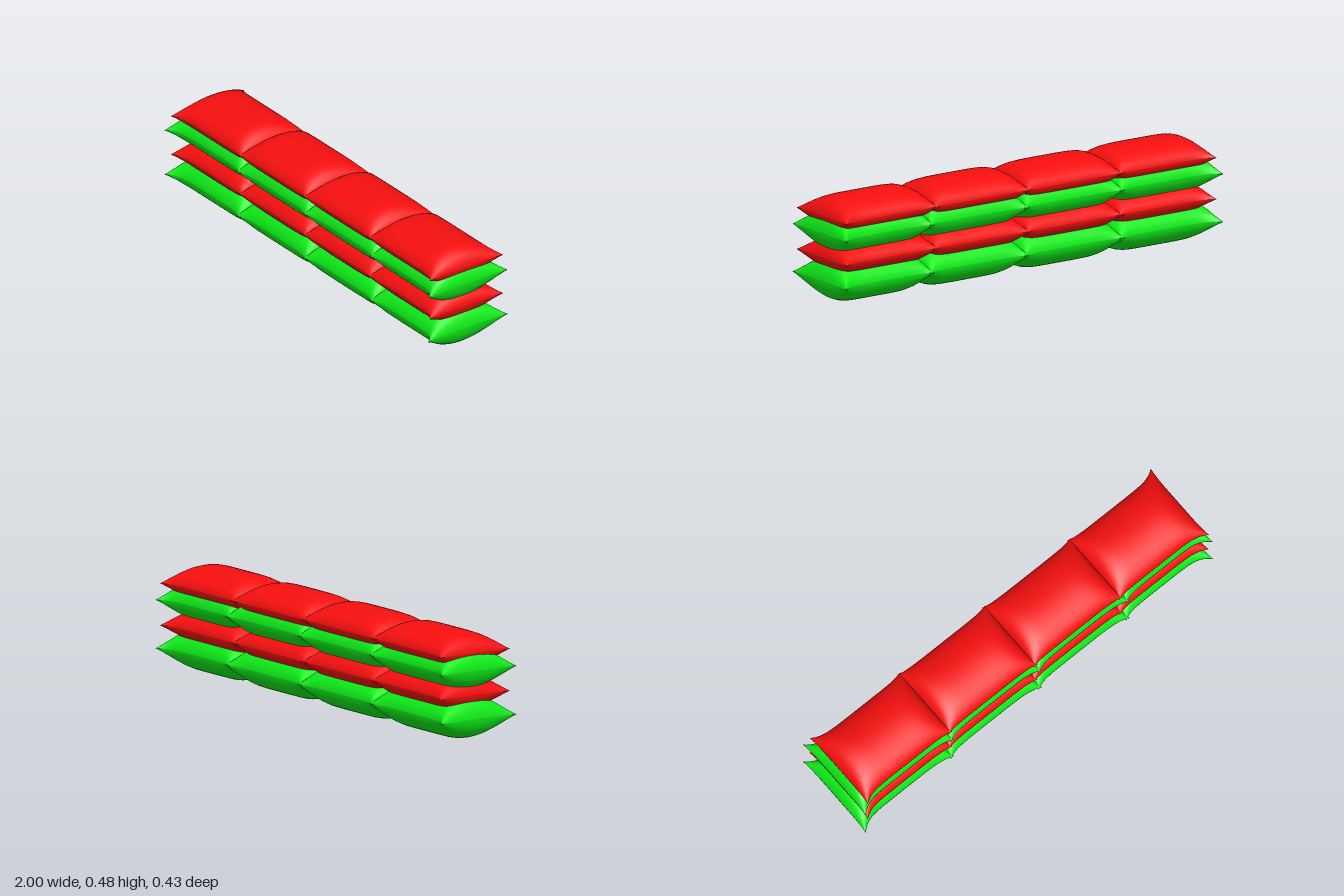
import * as THREE from 'three';
import { mergeGeometries } from 'three/addons/utils/BufferGeometryUtils.js';

const HALF_DEPTH = 0.167, CENTRE_Z = -0.015, OVERLAP = 0.01;

// Pillow between x0 and x1: two bulging skins meeting in a sharp seam, with pulled-out corners
function pillow(x0, x1, height, flareLeft, flareRight) {
  const skins = [1, -1].map((side) => {
    const g = new THREE.PlaneGeometry(2, 2, 24, 18).rotateX(-side * Math.PI / 2);
    const p = g.attributes.position;
    for (let i = 0; i < p.count; i++) {
      // sine spacing gathers the grid lines near the seam
      const u = Math.sin(p.getX(i) * Math.PI / 2);
      const w = Math.sin(p.getZ(i) * Math.PI / 2);
      const bulge = Math.pow(Math.max(0, 1 - u ** 6), 0.6) * Math.pow(Math.max(0, 1 - w * w), 0.55);
      const flare = (u < 0 ? flareLeft : flareRight) * u ** 6;
      const z = CENTRE_Z + w * (HALF_DEPTH + flare);
      const x = (x0 + x1) / 2 + u * ((x1 - x0) / 2 - 0.008 * (1 - w ** 4));
      p.setXYZ(i, x, side * height * bulge - 0.03 * z, z);
    }
    g.computeVertexNormals();
    return g;
  });
  return mergeGeometries(skins);
}

export function createModel() {
  const group = new THREE.Group();
  const red = new THREE.MeshStandardMaterial({ color: 0xf50f0f });
  const green = new THREE.MeshStandardMaterial({ color: 0x0eec18 });

  const greenRow = { name: 'greenCushion', material: green, height: 0.104,
    bounds: [-1, -0.48, 0.025, 0.53, 1], inner: 0.025, outer: 0.05 };
  const redRow = { name: 'redCushion', material: red, height: 0.083,
    bounds: [-0.975, -0.48, 0.01, 0.5, 0.99], inner: 0.012, outer: 0.033 };

  // Four stacked rows of four cushions, listed from the bottom up
  [[greenRow, 0.106], [redRow, 0.21], [greenRow, 0.325], [redRow, 0.4]].forEach(([row, y], level) => {
    const layer = new THREE.Group();
    layer.name = `cushionRow${level + 1}`;
    layer.position.y = y;
    for (let i = 0; i < 4; i++) {
      const first = i === 0, last = i === 3;
      const geometry = pillow(
        row.bounds[i] - (first ? 0 : OVERLAP), row.bounds[i + 1] + (last ? 0 : OVERLAP),
        row.height, first ? row.outer : row.inner, last ? row.outer : row.inner);
      const mesh = new THREE.Mesh(geometry, row.material);
      mesh.name = `${row.name}${i + 1}`;
      layer.add(mesh);
    }
    group.add(layer);
  });
  return group;
}
